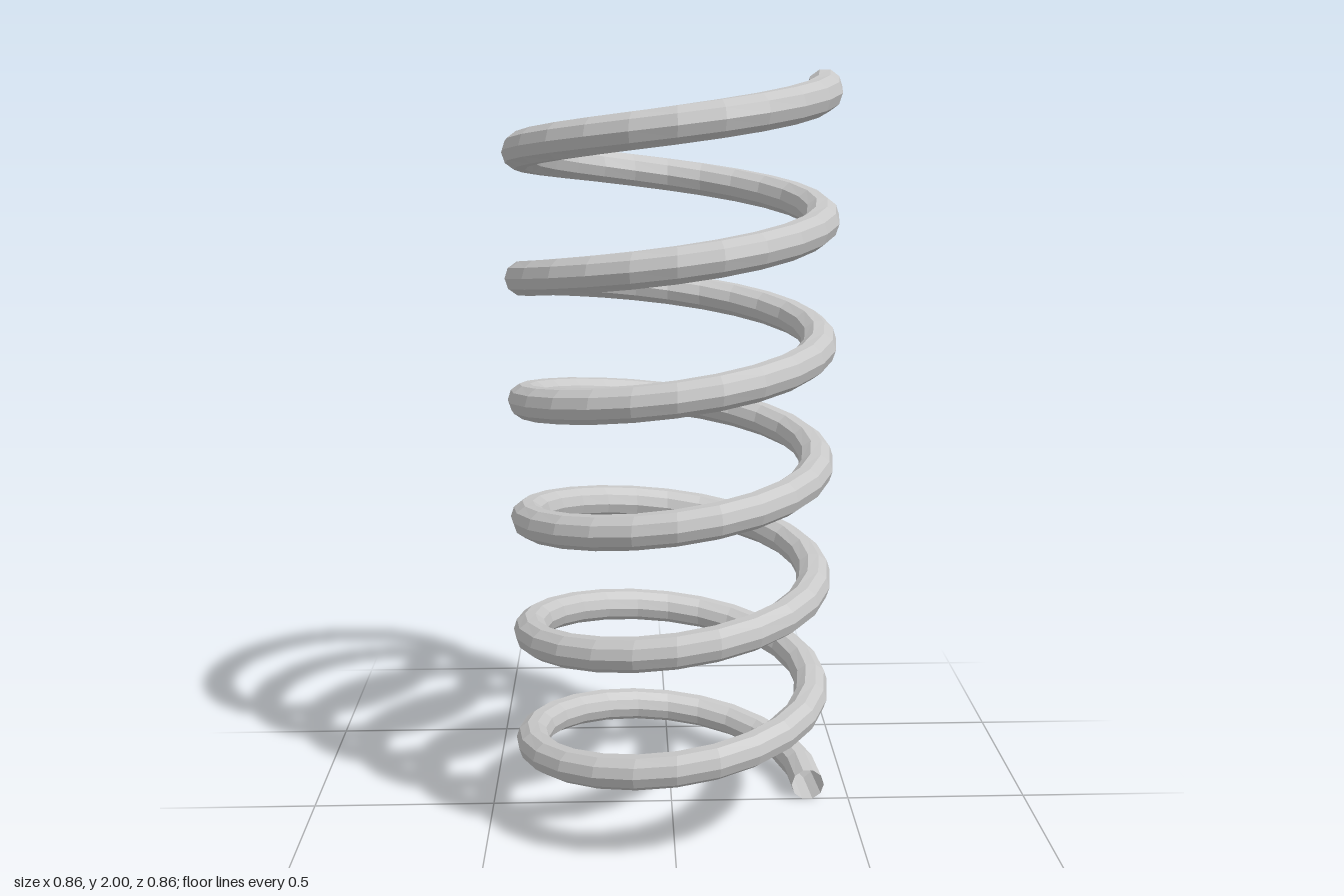
import * as THREE from 'three';
import { ParametricGeometry } from 'three/addons/geometries/ParametricGeometry.js';

const TURNS = 6;
const SEGMENTS_PER_TURN = 24;
const WIRE_SIDES = 10;
const COIL_RADIUS = 0.385;
const WIRE_RADIUS = 0.0455;
const END_HEIGHT = 0.0433; // wire centre height at the lower end

export function createModel() {
  const steel = new THREE.MeshStandardMaterial({ color: 0xc8c8c8 });
  steel.name = 'light steel grey';
  steel.flatShading = true;
  steel.side = THREE.DoubleSide; // the wire ends are open

  // Ten-sided section kept upright while it climbs around the y axis
  const helix = (u, v, target) => {
    const turn = u * TURNS * Math.PI * 2;
    const around = v * Math.PI * 2;
    const radius = COIL_RADIUS + WIRE_RADIUS * Math.cos(around);
    const centreY = THREE.MathUtils.lerp(END_HEIGHT, 2 - END_HEIGHT, u);
    target.set(
      radius * Math.cos(turn),
      centreY + WIRE_RADIUS * Math.sin(around),
      -radius * Math.sin(turn)
    );
  };

  const coil = new THREE.Mesh(
    new ParametricGeometry(helix, TURNS * SEGMENTS_PER_TURN, WIRE_SIDES),
    steel
  );
  coil.name = 'springCoil';

  const group = new THREE.Group();
  group.name = 'coilSpring';
  group.add(coil);
  return group;
}
